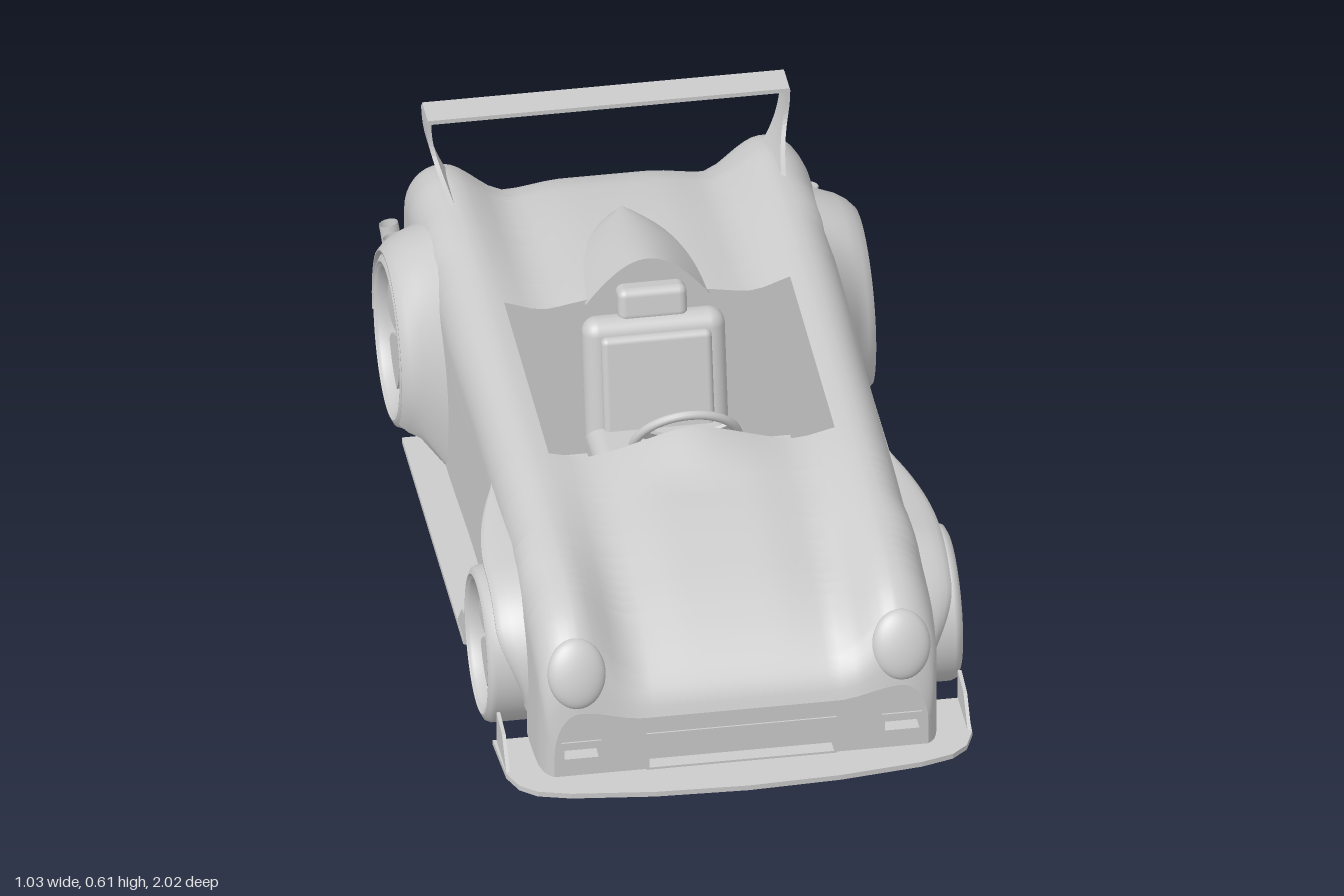
import * as THREE from 'three';
import { RoundedBoxGeometry } from 'three/addons/geometries/RoundedBoxGeometry.js';

const mat = new THREE.MeshStandardMaterial({ color: 0xcccccc, side: THREE.DoubleSide });
const FRONT = { z: 0.54, y: 0.17, r: 0.177 }, REAR = { z: -0.63, y: 0.19, r: 0.197 };
const PIT = { x: 0.31, z0: -0.33, z1: 0.25, floor: 0.05 };

function add(parent, name, geo, x = 0, y = 0, z = 0, rx = 0) {
  const m = new THREE.Mesh(geo, mat);
  m.name = name;
  m.position.set(x, y, z);
  m.rotation.x = rx;
  parent.add(m);
  return m;
}

// Surface through rows of [x, y, z] points
function grid(rows, skip = () => false) {
  const n = rows[0].length, idx = [];
  for (let i = 0; i < rows.length - 1; i++) for (let j = 0; j < n - 1; j++) {
    if (skip(i, j)) continue;
    const a = i * n + j, b = a + n;
    idx.push(a, b, a + 1, a + 1, b, b + 1);
  }
  const g = new THREE.BufferGeometry();
  g.setAttribute('position', new THREE.Float32BufferAttribute(rows.flat(2), 3));
  g.setIndex(idx);
  g.computeVertexNormals();
  return g;
}

const shapeOf = pts => new THREE.Shape(pts.map(p => new THREE.Vector2(p[0], p[1])));
const rectPath = (x0, x1, y0, y1) => new THREE.Path([[x0, y0], [x1, y0], [x1, y1], [x0, y1]].map(p => new THREE.Vector2(...p)));
const extrude = (shape, depth) => new THREE.ExtrudeGeometry(shape, { depth, bevelEnabled: false, curveSegments: 16 });
const step = THREE.MathUtils.smoothstep;

// Body stations: z, half width, fender height, centre height, lower edge
const STATIONS = [
  [-1, 0.37, 0.3, 0.28, 0.19], [-0.99, 0.395, 0.35, 0.31, 0.175], [-0.96, 0.42, 0.405, 0.35, 0.15],
  [-0.9, 0.43, 0.445, 0.39, 0.13], [-0.8, 0.435, 0.465, 0.42, 0.12], [-0.6, 0.435, 0.47, 0.44, 0.05],
  [-0.33, 0.435, 0.465, 0.45, 0.05], [0, 0.43, 0.458, 0.45, 0.05], [0.25, 0.43, 0.452, 0.448, 0.05],
  [0.45, 0.43, 0.438, 0.422, 0.05], [0.65, 0.435, 0.418, 0.37, 0.05], [0.76, 0.435, 0.397, 0.32, 0.05],
  [0.84, 0.432, 0.355, 0.265, 0.05], [0.885, 0.42, 0.275, 0.215, 0.05], [0.9, 0.405, 0.205, 0.18, 0.05]];

// Monotone cubic interpolation of one station column
function at(z, c) {
  const S = STATIONS, n = S.length;
  let i = 0;
  while (i < n - 2 && z > S[i + 1][0]) i++;
  const d = k => (S[k + 1][c] - S[k][c]) / (S[k + 1][0] - S[k][0]);
  const m = k => k === 0 ? d(0) : k === n - 1 ? d(n - 2) : d(k - 1) * d(k) <= 0 ? 0 : 2 * d(k - 1) * d(k) / (d(k - 1) + d(k));
  const h = S[i + 1][0] - S[i][0], t = (z - S[i][0]) / h, t2 = t * t, t3 = t2 * t;
  return (2 * t3 - 3 * t2 + 1) * S[i][c] + (t3 - 2 * t2 + t) * h * m(i) + (3 * t2 - 2 * t3) * S[i + 1][c] + (t3 - t2) * h * m(i + 1);
}

// Upper skin height: domed centre, valleys beside the fenders, cowl hump
function topY(x, z) {
  const ax = Math.abs(x), yF = at(z, 2), yC = at(z, 3) - 0.02 * step(ax, 0.09, 0.25) * step(0.9 - z, 0, 0.3);
  const hump = z > 0.2 ? 0.036 * (1 - step(z, 0.24, 0.42)) : 0;
  return yC + (yF - yC) * step(ax, 0.21, 0.345) + hump * Math.exp(-((x / 0.1) ** 2));
}

// The tail centre sits ahead of the rounded fender ends
const tailZ = (x, z) => z + 0.028 * step(-z, 0.85, 1) * (1 - step(Math.abs(x), 0.15, 0.3));

const TOP_X = [0.34, 0.325, 0.31, 0.29, 0.27, 0.25, 0.22, 0.19, 0.16, 0.13, 0.1, 0.07, 0.035, 0];
function section(z) {
  const W = at(z, 1), yF = topY(0.35, z), half = [];
  let yb = at(z, 4);
  for (const a of [FRONT, REAR]) {
    const d = Math.abs(z - a.z);
    if (d <= a.r + 1e-6) yb = a.y + Math.sqrt(Math.max(0, a.r * a.r - d * d));
  }
  const yS = Math.max(yF - 0.1, yb + 0.005), xs = Math.min(0.35, W - 0.02);
  for (let k = 0; k < 5; k++) half.push([W, yb + (yS - yb) * k / 5, z]);
  for (let k = 0; k <= 8; k++) {
    const a = k / 8 * Math.PI / 2;
    half.push([xs + (W - xs) * Math.cos(a), yS + (yF - yS) * Math.sin(a), z]);
  }
  for (const x of TOP_X) half.push([x, topY(x, z), tailZ(x, z)]);
  return [...half, ...half.slice(0, -1).reverse().map(p => [-p[0], p[1], p[2]])];
}

function buildBody(g) {
  const zs = new Set([-1, -0.997, -0.985, -0.975, 0.9, 0.897, 0.892, 0.885, 0.875, 0.865, 0.85, PIT.z0, PIT.z1]);
  for (let z = -0.96; z < 0.85; z += 0.03) zs.add(+z.toFixed(3));
  for (const a of [FRONT, REAR]) {
    for (let k = 0; k <= 16; k++) zs.add(a.z + a.r * Math.cos(k * Math.PI / 16));
    zs.add(a.z + a.r + 0.001).add(a.z - a.r - 0.001);
  }
  const rows = [...zs].sort((a, b) => a - b).map(section);
  const inPit = (i, j) => [rows[i][j], rows[i + 1][j + 1]].every(p => Math.abs(p[0]) <= PIT.x + 1e-4 && p[2] >= PIT.z0 - 1e-4 && p[2] <= PIT.z1 + 1e-4);
  add(g, 'bodyShell', grid(rows, inPit));
  // Tail underside and end panels
  const bottomOf = r => r.map(p => [p[0], r[0][1], p[2]]);
  add(g, 'tailUnderside', grid(rows.filter(r => r[0][2] < -0.85).map(bottomOf)));
  add(g, 'tailPanel', grid([rows[0], bottomOf(rows[0])]));
  add(g, 'rearPlate', new THREE.BoxGeometry(0.22, 0.075, 0.012), 0, 0.23, -0.974);
  const nose = shapeOf(rows[rows.length - 1]);
  const openings = [['grille', -0.2, 0.2, 0.055, 0.135], ['fogLight', 0.31, 0.385, 0.095, 0.13], ['fogLight', -0.385, -0.31, 0.095, 0.13]];
  for (const [name, x0, x1, y0, y1] of openings) {
    nose.holes.push(rectPath(x0, x1, y0, y1));
    const e = 0.006, frame = shapeOf([[x0 - e, y0 - e], [x1 + e, y0 - e], [x1 + e, y1 + e], [x0 - e, y1 + e]]);
    frame.holes.push(rectPath(x0, x1, y0, y1));
    add(g, name + 'Frame', extrude(frame, 0.044), 0, 0, 0.86);
    add(g, name + 'Panel', new THREE.BoxGeometry(x1 - x0, y1 - y0, 0.008), (x0 + x1) / 2, (y0 + y1) / 2, 0.866);
  }
  add(g, 'nosePanel', new THREE.ShapeGeometry(nose), 0, 0, 0.9);
  // Cockpit tub
  for (const z of [PIT.z0, PIT.z1]) {
    const rim = section(z).filter(p => Math.abs(p[0]) <= PIT.x + 1e-4);
    add(g, 'cockpitEndWall', grid([rim, rim.map(p => [p[0], PIT.floor, z])]));
  }
  const zr = rows.map(r => r[0][2]).filter(z => z >= PIT.z0 && z <= PIT.z1);
  for (const x of [-PIT.x, PIT.x]) add(g, 'cockpitSideWall', grid(zr.map(z => [[x, topY(x, z), z], [x, PIT.floor, z]])));
  add(g, 'cockpitFloor', new THREE.BoxGeometry(0.62, 0.01, 0.58), 0, PIT.floor, -0.04);
}

// Flare swept along rim points { z, y, a: outward angle, w: width, ext: reach over the body }
function flare(path) {
  return grid(path.map(({ z, y, a, w, ext }) => {
    const q = Math.min(1, ext / 0.06), far = Math.max(0, ext - 0.06) * 0.5;
    const prof = [[-0.03, ext], [w * 0.08, 0.047 * q + far], [w * 0.5, 0.034 * q], [w * 0.8, 0.018 * q], [w, 0], [w, -0.005], [w * 0.5, -0.006]];
    return prof.map(([x, e]) => [0.43 + x, Math.max(0.05, y + e * Math.sin(a)), z + e * Math.cos(a)]);
  }));
}
const arc = (c, a0, a1, w, ext) => Array.from({ length: 41 }, (_, k) => {
  const a = a0 + (a1 - a0) * k / 40;
  return { z: c.z + c.r * Math.cos(a), y: c.y + c.r * Math.sin(a), a, w: w(a), ext: ext(a) };
});

function wheel(r) {
  const w = new THREE.Group(), k = r - 0.028;
  w.name = 'wheel';
  const lathe = pts => new THREE.LatheGeometry(pts.map(p => new THREE.Vector2(...p)), 48).rotateZ(-Math.PI / 2);
  add(w, 'tire', lathe([[k, -0.06], [k + 0.008, -0.0725], [r - 0.018, -0.0725], [r - 0.005, -0.066], [r, -0.054],
    [r, 0.054], [r - 0.005, 0.066], [r - 0.018, 0.0725], [k + 0.008, 0.0725], [k, 0.06]]));
  add(w, 'rim', lathe([[k, -0.065], [k - 0.006, -0.05], [k - 0.008, 0.045], [k - 0.004, 0.064], [k + 0.004, 0.07]]));
  add(w, 'brakeDisc', new THREE.CylinderGeometry(r * 0.56, r * 0.56, 0.012, 32).rotateZ(Math.PI / 2), -0.005);
  add(w, 'hub', new THREE.CylinderGeometry(r * 0.08, r * 0.1, 0.05, 20).rotateZ(-Math.PI / 2), 0.02);
  // Petal shaped spokes
  const s = new THREE.Shape();
  s.moveTo(-0.01, 0);
  s.bezierCurveTo(-0.02, k * 0.35, -k * 0.4, k * 0.5, -k * 0.36, k * 0.88);
  s.quadraticCurveTo(0, k * 1.08, k * 0.36, k * 0.88);
  s.bezierCurveTo(k * 0.4, k * 0.5, 0.02, k * 0.35, 0.01, 0);
  for (let i = 0; i < 5; i++) add(w, 'spoke', extrude(s, 0.012).rotateY(Math.PI / 2), 0.032).rotation.x = i * Math.PI * 0.4;
  return w;
}

function buildSide(g) {
  for (const [a, r] of [[FRONT, 0.17], [REAR, 0.19]]) {
    const w = wheel(r);
    w.position.set(0.4425, r, a.z);
    g.add(w);
  }
  // Front flare runs over the wheel and trails off as a spear
  const front = arc(FRONT, -0.35, Math.PI / 2, a => 0.008 + 0.056 * step(a, -0.4, 0.8), () => 0.028);
  for (let t = 0.05; t < 1.01; t += 0.05) {
    front.push({ z: FRONT.z - 0.32 * t, y: 0.347 + 0.011 * t, a: Math.PI / 2, w: 0.064 * (1 - t * t), ext: 0.028 - 0.02 * t });
  }
  add(g, 'frontFlare', flare(front));
  add(g, 'rearFlare', flare(arc(REAR, -0.6, 3.35, () => 0.084, a => 0.058 + 0.16 * (1 - step(a, 0, 1.4)))));
  add(g, 'headlight', new THREE.SphereGeometry(1, 32, 20).scale(0.063, 0.077, 0.028), 0.352, 0.287, 0.866, -0.4);
  add(g, 'tailLight', new THREE.SphereGeometry(1, 32, 20).scale(0.055, 0.06, 0.02), 0.325, 0.285, -0.994, 0.12);
  // Side skirt and upright fins
  add(g, 'sideSkirt', new THREE.BoxGeometry(0.1, 0.012, 0.8), 0.46, 0.046, -0.06);
  const fin = (z0, z1, z2) => extrude(shapeOf([[-z0, 0.042], [-z1, 0.042], [-z2, 0.11], [-z0, 0.12]]), 0.008).rotateY(Math.PI / 2);
  add(g, 'skirtFin', fin(0.345, 0.25, 0.31), 0.501);
  add(g, 'splitterFin', fin(0.735, 0.87, 0.81), 0.496);
  // Twin exhaust pipes sweeping outward, with open upturned tips
  for (const dz of [0, -0.055]) {
    const pts = [[0.08, 0.105, -0.785], [0.25, 0.105, -0.825], [0.4, 0.108, -0.865], [0.432, 0.14, -0.882], [0.456, 0.272, -0.905]];
    const path = new THREE.CatmullRomCurve3(pts.map(p => new THREE.Vector3(p[0], p[1], p[2] + dz)));
    add(g, 'exhaustPipe', new THREE.TubeGeometry(path, 40, 0.021, 14));
  }
  // Wing strut, bowed outward: wide foot, narrow top
  const strut = [];
  for (let i = 0; i <= 16; i++) {
    const t = i / 16, y = 0.445 + 0.158 * t, x = 0.342 + 0.042 * (1 - (1 - t) ** 2.2);
    const zf = -0.832 + 0.24 * (1 - t) ** 4.4, zb = -0.885 - 0.02 * t;
    strut.push([[x, y, zf], [x + 0.01, y, zf], [x + 0.01, y, zb], [x, y, zb], [x, y, zf]]);
  }
  add(g, 'wingStrut', grid(strut).toNonIndexed()).geometry.computeVertexNormals();
}

function buildCockpit(g) {
  // Seat
  add(g, 'seatBase', new THREE.BoxGeometry(0.24, 0.1, 0.26), 0, 0.1, -0.07);
  add(g, 'seatCushion', new RoundedBoxGeometry(0.31, 0.09, 0.33, 4, 0.035), 0, 0.18, -0.07, -0.08);
  add(g, 'seatBack', new RoundedBoxGeometry(0.31, 0.3, 0.075, 4, 0.035), 0, 0.3, -0.23, -0.2);
  add(g, 'seatBackPad', new RoundedBoxGeometry(0.24, 0.24, 0.03, 4, 0.014), 0, 0.305, -0.19, -0.2);
  add(g, 'headrest', new RoundedBoxGeometry(0.15, 0.075, 0.06, 4, 0.018), 0, 0.468, -0.275, -0.2);
  // Steering wheel
  const sw = new THREE.Group();
  sw.name = 'steeringWheel';
  add(sw, 'steeringRim', new THREE.TorusGeometry(0.115, 0.01, 12, 48));
  add(sw, 'steeringHub', new THREE.CylinderGeometry(0.024, 0.024, 0.02, 20).rotateX(Math.PI / 2));
  for (let i = 0; i < 3; i++) add(sw, 'steeringSpoke', new THREE.BoxGeometry(0.024, 0.11, 0.008).translate(0, 0.057, 0)).rotation.z = Math.PI / 3 + i * Math.PI * 2 / 3;
  add(sw, 'steeringColumn', new THREE.CylinderGeometry(0.008, 0.008, 0.09, 12).rotateX(Math.PI / 2), 0, 0, 0.045);
  sw.position.set(0, 0.39, 0.17);
  sw.rotation.x = 0.46;
  g.add(sw);
  // Rounded headrest fairing tapering along the rear deck
  const rows = [];
  for (let i = 0; i <= 20; i++) {
    const t = i / 20, w = 0.135 * Math.sqrt(1 - t ** 2.4), y0 = 0.44 - 0.015 * t, h = 0.105 - 0.075 * t;
    rows.push(Array.from({ length: 25 }, (_, j) => {
      const s = j / 12 - 1;
      return [w * s, y0 + h * Math.cos(s * Math.PI / 2) ** 0.95, -0.32 - 0.35 * t];
    }));
  }
  add(g, 'headFairing', grid(rows));
  add(g, 'fairingFront', new THREE.ShapeGeometry(shapeOf(rows[0])), 0, 0, -0.32);
}

export function createModel() {
  const car = new THREE.Group();
  car.name = 'roadster';
  buildBody(car);
  buildCockpit(car);
  const left = new THREE.Group();
  left.name = 'leftSide';
  buildSide(left);
  const right = left.clone();
  right.name = 'rightSide';
  right.scale.x = -1;
  car.add(left, right);
  // Front splitter and rear wing
  const outer = [[0.512, 0.735], [0.505, 0.87], [0.485, 0.92], [0.45, 0.95], [0.38, 0.97], [0.2, 0.992], [0, 1]];
  const inner = [[0, 0.87], [0.38, 0.87], [0.425, 0.83], [0.425, 0.735]];
  const flip = a => a.filter(p => p[0] > 0).reverse().map(p => [-p[0], p[1]]);
  add(car, 'splitter', extrude(shapeOf([...outer, ...flip(outer), ...flip(inner), ...inner]), 0.012).rotateX(Math.PI / 2), 0, 0.05);
  add(car, 'wing', new THREE.BoxGeometry(0.784, 0.01, 0.075), 0, 0.603, -0.868);
  return car;
}
